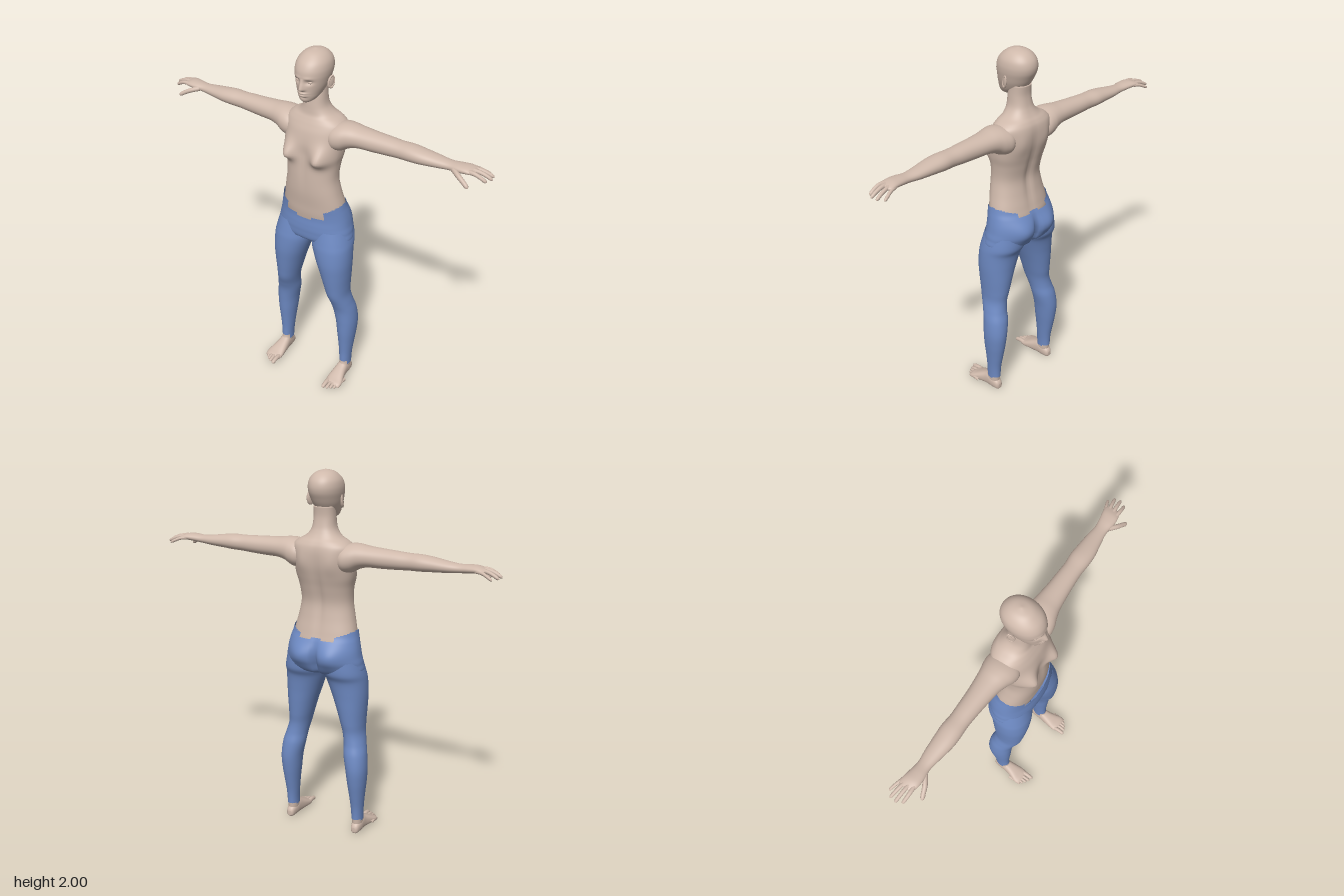
import * as THREE from 'three';
import { mergeVertices } from 'three/addons/utils/BufferGeometryUtils.js';

const gauss = (d, s) => Math.exp(-(d * d) / (s * s));

// Catmull-Rom sample of a table of rows at t in 0..1
function sample(rows, t) {
  const f = t * (rows.length - 1), i = Math.min(Math.floor(f), rows.length - 2), k = f - i;
  const r = n => rows[Math.max(0, Math.min(rows.length - 1, n))];
  return rows[0].map((_, c) => {
    const a = r(i - 1)[c], b = r(i)[c], d = r(i + 1)[c], e = r(i + 2)[c];
    return b + 0.5 * k * (d - a + k * (2 * a - 5 * b + 4 * d - e + k * (3 * (b - d) + e - a)));
  });
}

// Closed loft along an axis; each row is [position, u0, u1, v0, v1], u and v being the next two axes
function loft(axis, table, { rows = 40, segs = 40, power = 2.1, deform, keep } = {}) {
  const s = 'xyz'.indexOf(axis), u = (s + 1) % 3, v = (s + 2) % 3;
  const sorted = [...table].sort((a, b) => a[0] - b[0]), pos = [], index = [];
  const push = (a, b, c) => {
    const p = [0, 0, 0];
    p[s] = a; p[u] = b; p[v] = c;
    const q = new THREE.Vector3(...p);
    if (deform) deform(q);
    pos.push(q.x, q.y, q.z);
  };
  const round = n => Math.sign(n) * Math.abs(n) ** (2 / power);
  for (let i = 0; i <= rows; i++) {
    const [h, u0, u1, v0, v1] = sample(sorted, i / rows);
    for (let j = 0; j < segs; j++) {
      const a = j / segs * Math.PI * 2;
      push(h, (u0 + u1) / 2 + (u1 - u0) / 2 * round(Math.cos(a)), (v0 + v1) / 2 + (v1 - v0) / 2 * round(Math.sin(a)));
    }
  }
  for (let i = 0; i < rows; i++) for (let j = 0; j < segs; j++) {
    const a = i * segs + j, b = i * segs + (j + 1) % segs, c = b + segs, d = a + segs;
    const mid = n => (pos[a * 3 + n] + pos[b * 3 + n] + pos[c * 3 + n] + pos[d * 3 + n]) / 4;
    if (!keep || keep(mid(0), mid(1), mid(2))) index.push(a, b, c, a, c, d);
  }
  // end caps, left out on trimmed cloth
  if (!keep) [0, rows].forEach(i => {
    const [h, u0, u1, v0, v1] = sorted[i ? sorted.length - 1 : 0], centre = pos.length / 3;
    push(h, (u0 + u1) / 2, (v0 + v1) / 2);
    for (let j = 0; j < segs; j++) {
      const a = i * segs + j, b = i * segs + (j + 1) % segs;
      index.push(centre, ...(i ? [a, b] : [b, a]));
    }
  });
  const g = new THREE.BufferGeometry();
  g.setAttribute('position', new THREE.Float32BufferAttribute(pos, 3));
  g.setIndex(index);
  g.computeVertexNormals();
  return g;
}

// Tapered finger or toe with a rounded tip
function digit(points, radius) {
  const curve = new THREE.CatmullRomCurve3(points.map(p => new THREE.Vector3(...p)));
  let g = new THREE.TubeGeometry(curve, 20, radius, 12);
  const p = g.attributes.position, q = new THREE.Vector3();
  for (let n = 0; n < p.count; n++) {
    const t = Math.floor(n / 13) / 20, c = curve.getPointAt(t);
    const tip = t > 0.85 ? Math.sqrt(Math.max(0.002, 1 - ((t - 0.85) / 0.15) ** 2)) : 1;
    q.fromBufferAttribute(p, n).sub(c).multiplyScalar((1 - 0.25 * t) * tip).add(c);
    p.setXYZ(n, q.x, q.y, q.z);
  }
  g.deleteAttribute('uv');
  g.deleteAttribute('normal');
  g = mergeVertices(g, 1e-6);
  g.computeVertexNormals();
  return g;
}

function mirrored(geometry) {
  const g = geometry.clone().scale(-1, 1, 1), ix = g.index.array;
  for (let i = 0; i < ix.length; i += 3) [ix[i], ix[i + 1]] = [ix[i + 1], ix[i]];
  g.computeVertexNormals();
  return g;
}

// [y, half width, front z, back z] to a symmetric loft row
const sym = ([y, w, front, back]) => [y, back, front, -w, w];

export function createModel() {
  const model = new THREE.Group();
  const skin = new THREE.MeshStandardMaterial({ name: 'skin', color: 0xcfb9ab });
  const cloth = new THREE.MeshStandardMaterial({ name: 'blue cloth', color: 0x6d89c2, side: THREE.DoubleSide });
  const add = (name, g, m = skin) => {
    const mesh = new THREE.Mesh(g, m);
    mesh.name = name;
    model.add(mesh);
  };
  const pair = (name, g, m) => { add('left' + name, g, m); add('right' + name, mirrored(g), m); };

  // Torso and neck, with bust, spine groove and shoulder blades
  add('torso', loft('y', [
    [1.02, 0.16, 0.07, -0.1], [1.1, 0.178, 0.085, -0.122], [1.16, 0.175, 0.091, -0.114], [1.24, 0.157, 0.1, -0.098],
    [1.32, 0.143, 0.102, -0.09], [1.4, 0.148, 0.099, -0.106], [1.46, 0.16, 0.093, -0.122], [1.52, 0.166, 0.092, -0.135],
    [1.58, 0.17, 0.08, -0.139], [1.62, 0.165, 0.064, -0.135], [1.645, 0.138, 0.052, -0.124], [1.665, 0.1, 0.043, -0.11],
    [1.69, 0.075, 0.039, -0.096], [1.72, 0.062, 0.036, -0.085], [1.77, 0.057, 0.03, -0.077], [1.82, 0.055, 0.02, -0.08],
  ].map(sym), {
    rows: 80, segs: 72, power: 2.3,
    deform: p => {
      const ax = Math.abs(p.x);
      if (p.z > 0) {
        p.z += 0.055 * gauss(ax - 0.095, 0.045) * gauss(p.y - 1.45, p.y > 1.45 ? 0.06 : 0.036);
        p.z -= 0.005 * gauss(p.x, 0.02) * gauss(p.y - 1.4, 0.12);
      } else if (p.z < -0.04) {
        p.z += 0.013 * gauss(p.x, 0.022) * gauss(p.y - 1.36, 0.2);
        p.z -= 0.008 * gauss(ax - 0.085, 0.04) * gauss(p.y - 1.54, 0.06);
      }
    },
  }));

  // Head with nose, eye sockets, brow, lips and chin
  add('head', loft('y', [
    [1.752, 0.02, 0.085, 0.03], [1.762, 0.036, 0.095, 0], [1.78, 0.05, 0.1, -0.03], [1.8, 0.06, 0.102, -0.06],
    [1.83, 0.072, 0.103, -0.084], [1.86, 0.08, 0.105, -0.101], [1.89, 0.086, 0.106, -0.115], [1.92, 0.087, 0.101, -0.119],
    [1.95, 0.08, 0.085, -0.111], [1.975, 0.062, 0.058, -0.09], [1.991, 0.038, 0.03, -0.062], [2, 0.004, -0.012, -0.02],
  ].map(sym), {
    rows: 90, segs: 96,
    deform: p => {
      if (p.z < 0.02) return;
      const ax = Math.abs(p.x), slope = Math.max(0, Math.min(1, (1.882 - p.y) / 0.05));
      p.z += 0.024 * slope * gauss(p.x, 0.009 + 0.006 * slope) * (p.y < 1.827 ? gauss(p.y - 1.827, 0.008) : 1);
      p.z -= 0.011 * gauss(ax - 0.033, 0.018) * gauss(p.y - 1.864, 0.012);
      p.z += 0.003 * gauss(ax - 0.03, 0.022) * gauss(p.y - 1.884, 0.008);
      p.z += 0.010 * gauss(p.x, 0.022) * (gauss(p.y - 1.805, 0.005) + gauss(p.y - 1.793, 0.005));
      p.z -= 0.003 * gauss(p.x, 0.02) * gauss(p.y - 1.781, 0.006);
    },
  }));
  pair('Eyelid', new THREE.SphereGeometry(1, 20, 14).scale(0.014, 0.008, 0.008).translate(0.033, 1.863, 0.083));
  pair('Ear', new THREE.SphereGeometry(1, 20, 16).scale(0.007, 0.033, 0.02).rotateX(-0.2).rotateY(-0.35).translate(0.09, 1.845, -0.013));
  pair('EarRim', mergeVertices(new THREE.TorusGeometry(0.019, 0.004, 8, 24).scale(0.85, 1.5, 1)
    .rotateY(Math.PI / 2 - 0.35).rotateX(-0.2).translate(0.094, 1.847, -0.014)));

  // Arms, from inside the chest out to the knuckles
  pair('Arm', loft('x', [
    [0.09, 1.51, 1.62, -0.1, 0.04], [0.13, 1.49, 1.635, -0.122, 0.06], [0.17, 1.495, 1.643, -0.12, 0.058],
    [0.21, 1.517, 1.643, -0.11, 0.044], [0.26, 1.53, 1.637, -0.102, 0.03], [0.34, 1.532, 1.632, -0.095, 0.02],
    [0.42, 1.536, 1.628, -0.092, 0.013], [0.48, 1.54, 1.625, -0.09, 0.01], [0.54, 1.542, 1.625, -0.095, 0.013],
    [0.6, 1.546, 1.619, -0.092, 0.011], [0.68, 1.552, 1.608, -0.087, -0.003], [0.74, 1.558, 1.602, -0.08, -0.012],
    [0.79, 1.563, 1.605, -0.086, -0.006], [0.83, 1.568, 1.605, -0.093, -0.006], [0.86, 1.57, 1.598, -0.096, -0.014],
    [0.875, 1.578, 1.592, -0.085, -0.03],
  ], { rows: 70 }));
  [
    ['Thumb', [[0.77, 1.578, -0.02], [0.81, 1.567, 0.008], [0.845, 1.55, 0.022], [0.872, 1.533, 0.032]], 0.014],
    ['IndexFinger', [[0.835, 1.587, -0.024], [0.88, 1.585, -0.022], [0.912, 1.572, -0.024], [0.936, 1.557, -0.028]], 0.0115],
    ['MiddleFinger', [[0.835, 1.588, -0.045], [0.885, 1.587, -0.05], [0.922, 1.576, -0.054], [0.952, 1.56, -0.058]], 0.0115],
    ['RingFinger', [[0.835, 1.587, -0.065], [0.88, 1.585, -0.075], [0.916, 1.574, -0.083], [0.947, 1.558, -0.09]], 0.011],
    ['LittleFinger', [[0.83, 1.583, -0.083], [0.867, 1.579, -0.095], [0.895, 1.568, -0.106], [0.921, 1.555, -0.115]], 0.0095],
  ].forEach(([name, path, r]) => pair(name, digit(path, r)));

  // Hip part of the trousers with a stepped waistline
  const waistline = (x, z) => {
    const ax = Math.abs(x);
    if (z > 0) return ax > 0.115 ? 1.14 + (ax - 0.115) * 0.55 : ax > 0.04 ? 1.1 : 1.085;
    return ax > 0.1 ? 1.15 + (ax - 0.1) * 0.35 : ax > 0.03 ? 1.13 : 1.14;
  };
  add('trouserHips', loft('y', [
    [0.925, 0.11, 0.05, -0.07], [0.95, 0.215, 0.092, -0.125], [1, 0.218, 0.1, -0.147], [1.04, 0.21, 0.099, -0.152],
    [1.08, 0.203, 0.095, -0.147], [1.12, 0.194, 0.095, -0.135], [1.15, 0.186, 0.097, -0.122], [1.185, 0.178, 0.1, -0.114],
  ].map(sym), {
    rows: 60, segs: 96, power: 2.2,
    keep: (x, y, z) => y < waistline(x, z),
    deform: p => {
      if (p.z > -0.03) return;
      p.z -= 0.032 * gauss(Math.abs(p.x) - 0.09, 0.075) * gauss(p.y - 1.045, 0.07);
      p.z += 0.03 * gauss(p.x, 0.016) * gauss(p.y - 1.0, 0.08);
    },
  }), cloth);

  // Trouser legs with an uneven hem
  pair('TrouserLeg', loft('y', [
    [1.02, -0.14, 0.085, 0, 0.21], [0.95, -0.135, 0.1, 0.002, 0.227], [0.9, -0.112, 0.108, 0.012, 0.233],
    [0.82, -0.1, 0.11, 0.04, 0.235], [0.74, -0.093, 0.102, 0.068, 0.231], [0.66, -0.085, 0.091, 0.092, 0.226],
    [0.6, -0.078, 0.08, 0.108, 0.226], [0.54, -0.085, 0.057, 0.12, 0.239], [0.48, -0.102, 0.039, 0.127, 0.253],
    [0.4, -0.11, 0.032, 0.143, 0.26], [0.32, -0.103, 0.028, 0.153, 0.256], [0.24, -0.089, 0.021, 0.163, 0.247],
    [0.17, -0.076, 0.016, 0.17, 0.24], [0.12, -0.071, 0.016, 0.174, 0.237], [0.075, -0.07, 0.017, 0.175, 0.236],
  ], { rows: 110, segs: 48, keep: (x, y, z) => y > (z > -0.005 ? 0.105 : z > -0.045 ? 0.08 : 0.09) }), cloth);

  // Ankles, feet and toes
  pair('Ankle', loft('y', [
    [0.02, -0.062, 0.01, 0.182, 0.23], [0.07, -0.064, 0.022, 0.177, 0.235], [0.1, -0.066, 0.013, 0.178, 0.234],
    [0.17, -0.07, 0.01, 0.175, 0.235],
  ], { rows: 16 }));
  pair('Foot', loft('z', [
    [-0.077, 0.195, 0.217, 0.012, 0.04], [-0.066, 0.184, 0.229, 0.003, 0.058], [-0.03, 0.177, 0.236, 0, 0.08],
    [0, 0.174, 0.238, 0, 0.092], [0.03, 0.17, 0.242, 0, 0.079], [0.07, 0.165, 0.253, 0, 0.059],
    [0.1, 0.163, 0.262, 0, 0.043], [0.122, 0.167, 0.26, 0.001, 0.033], [0.135, 0.18, 0.245, 0.006, 0.024],
  ], { rows: 36, power: 2.4 }));
  [[0.18, 0.18, 0.0145], [0.203, 0.173, 0.011], [0.221, 0.163, 0.0105], [0.238, 0.15, 0.01], [0.253, 0.135, 0.01]]
    .forEach(([x, z, r], i) => pair('Toe' + (i + 1),
      digit([[x, 0.02, z - 0.08], [x, 0.022, z - 0.04], [x, 0.013, z]], r)));

  return model;
}
